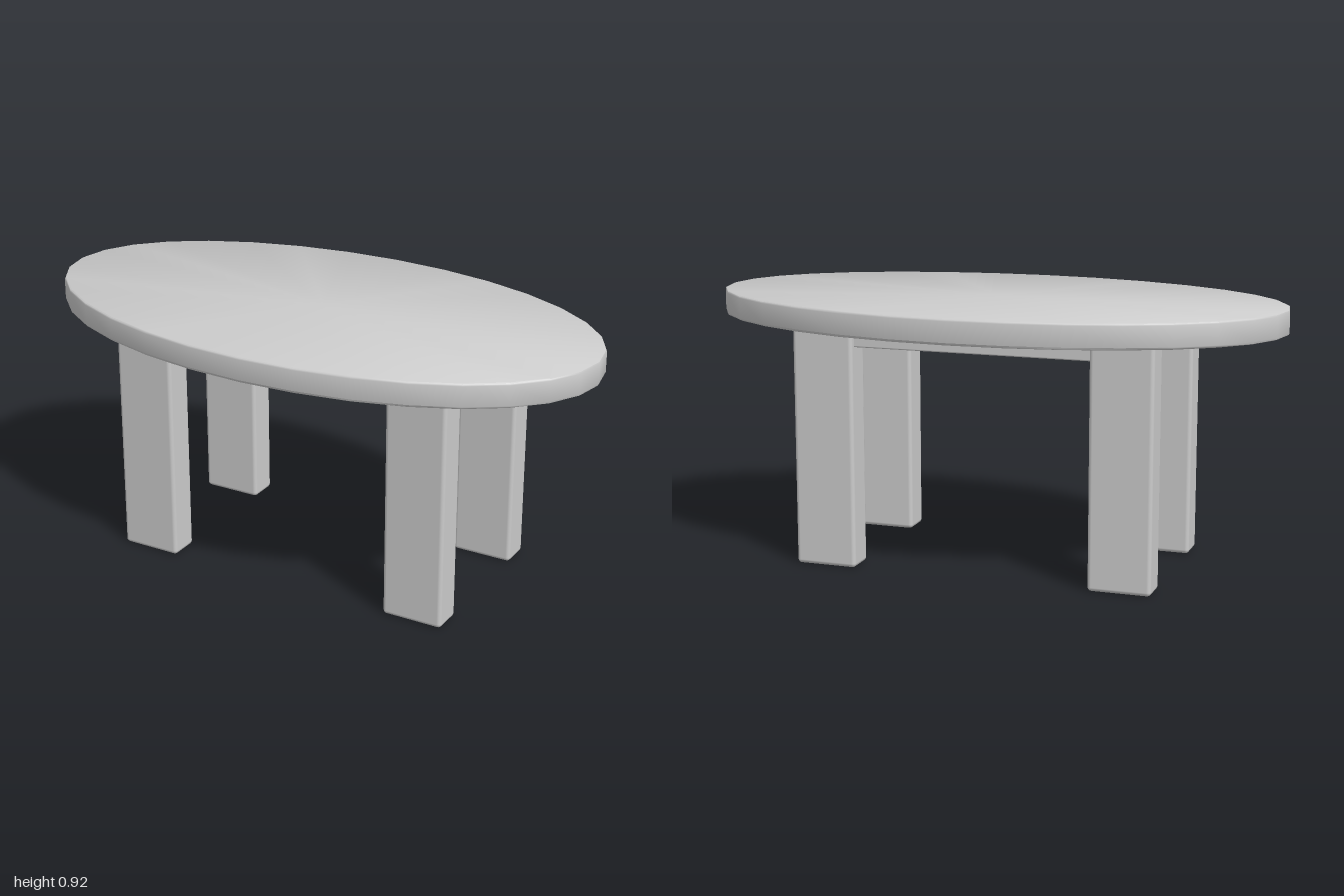
import * as THREE from 'three';
import { RoundedBoxGeometry } from 'three/addons/geometries/RoundedBoxGeometry.js';
import { toCreasedNormals } from 'three/addons/utils/BufferGeometryUtils.js';

const material = new THREE.MeshStandardMaterial({ color: 0xcccccc });

const TOP_Y = 0.916;    // upper face of the table top
const UNDER_Y = 0.831;  // lower face of the table top
const RAIL_Y = 0.764;   // lower edge of the rails
const LEG_X = 0.52, LEG_Z = 0.268;
const LEG_W = 0.216, LEG_D = 0.11;

function addBlock(parent, name, size, position, radius) {
  const mesh = new THREE.Mesh(new RoundedBoxGeometry(...size, 2, radius), material);
  mesh.name = name;
  mesh.position.set(...position);
  parent.add(mesh);
}

export function createModel() {
  const table = new THREE.Group();
  table.name = 'ovalTable';

  // Oval top: a turned disc with softened rims, squeezed in depth
  const b = 0.008;
  const profile = [
    [0, UNDER_Y], [1 - b, UNDER_Y], [1 - b * 0.3, UNDER_Y + b * 0.3], [1, UNDER_Y + b],
    [1, TOP_Y - b], [1 - b * 0.3, TOP_Y - b * 0.3], [1 - b, TOP_Y], [0, TOP_Y],
  ].map(([x, y]) => new THREE.Vector2(x, y));
  const disc = new THREE.LatheGeometry(profile, 32);
  disc.scale(1, 1, 0.538);
  const top = new THREE.Mesh(toCreasedNormals(disc, 0.75), material);
  top.name = 'tableTop';
  table.add(top);

  // Base sits very slightly off the centre of the top
  const base = new THREE.Group();
  base.name = 'base';
  base.position.set(-0.004, 0, -0.007);
  table.add(base);

  // Four slab legs, let slightly into the top
  const legH = UNDER_Y + 0.02;
  for (const sx of [1, -1]) {
    for (const sz of [1, -1]) {
      const name = (sz > 0 ? 'front' : 'back') + (sx > 0 ? 'Left' : 'Right') + 'Leg';
      addBlock(base, name, [LEG_W, legH, LEG_D], [sx * LEG_X, legH / 2, sz * LEG_Z], 0.014);
    }
  }

  // Rails under the top joining the legs
  const railH = UNDER_Y + 0.01 - RAIL_Y;
  const railY = RAIL_Y + railH / 2;
  const overlap = 0.02;
  for (const s of [1, -1]) {
    addBlock(base, s > 0 ? 'frontRail' : 'backRail',
      [2 * LEG_X - LEG_W + overlap, railH, 0.065], [0, railY, s * LEG_Z], 0.005);
    addBlock(base, s > 0 ? 'leftRail' : 'rightRail',
      [0.08, railH, 2 * LEG_Z - LEG_D + overlap], [s * LEG_X, railY, 0], 0.005);
  }

  return table;
}
